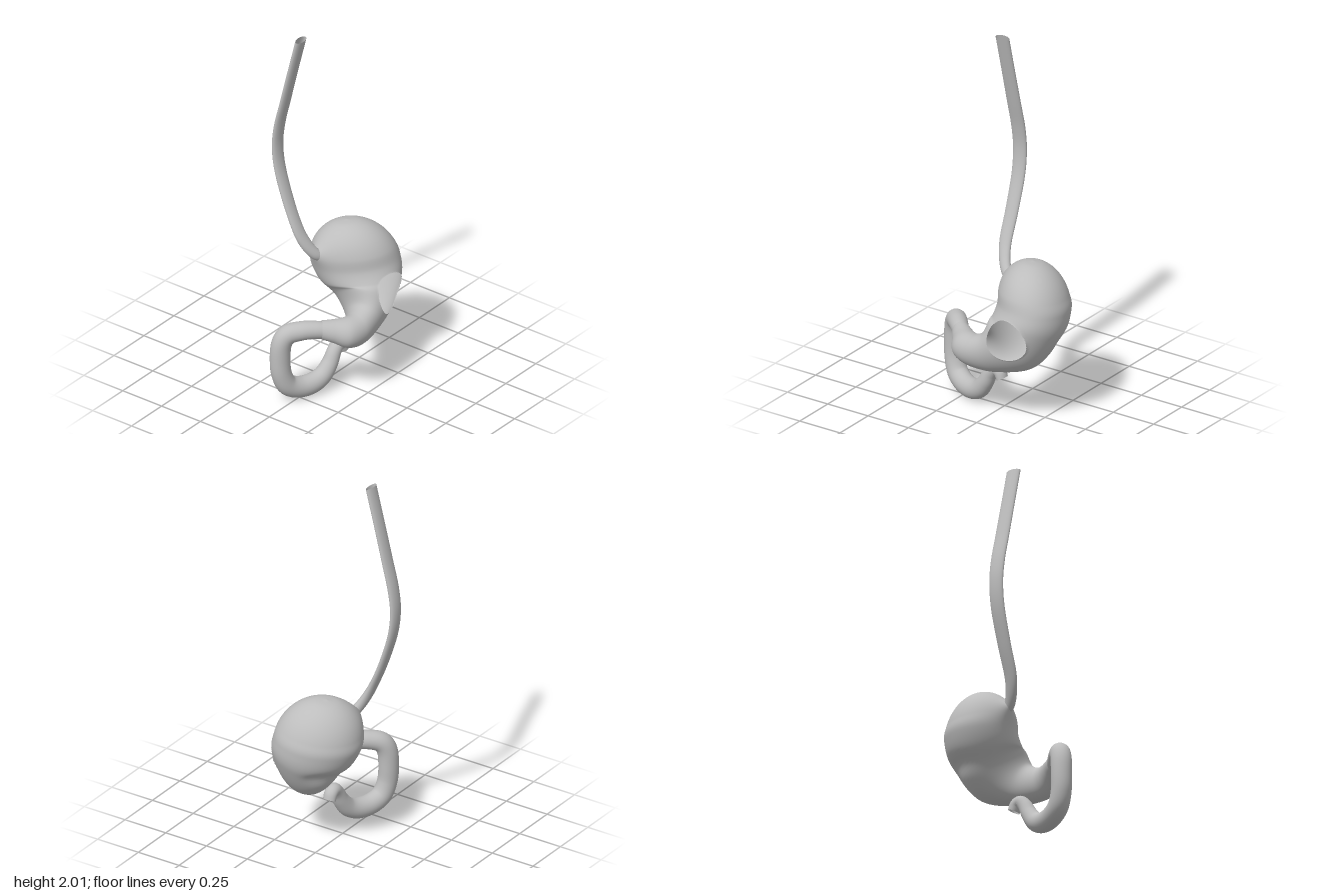
import * as THREE from 'three';

const tissue = new THREE.MeshStandardMaterial({ color: 0xbdbdbd, side: THREE.DoubleSide });
tissue.name = 'grey tissue';

const vec = (x, y, z) => new THREE.Vector3(x, y, z);
const spline = list => new THREE.CatmullRomCurve3(list, false, 'catmullrom', 0.5);

// Sections [x, y, z, half width, half depth], square to their path
function tubeFrame(sections) {
  const path = spline(sections.map(s => vec(s[0], s[1], s[2])));
  const size = spline(sections.map(s => vec(s[3], s[4], 0)));
  return t => {
    const T = path.getTangent(t), r = size.getPoint(t);
    const U = T.clone().cross(vec(0, 0, 1)).normalize();
    const V = U.clone().cross(T).normalize();
    return [path.getPoint(t), U.multiplyScalar(r.x), V.multiplyScalar(r.y)];
  };
}

// Sections [centre, half axis to the inner curve, half axis to the front]
function bagFrame(sections) {
  const curves = [0, 1, 2].map(k => spline(sections.map(s => vec(...s[k]))));
  return t => curves.map(c => c.getPoint(t));
}

// Skins elliptical sections. shape(p) may move a vertex; keep(a, b, c) may drop a face.
function loft(name, frame, rows, sides, shape, keep) {
  const points = [];
  for (let i = 0; i <= rows; i++) {
    const [C, U, V] = frame(i / rows);
    for (let j = 0; j < sides; j++) {
      const a = (j / sides) * Math.PI * 2;
      const p = C.clone().addScaledVector(U, Math.cos(a)).addScaledVector(V, Math.sin(a));
      if (shape) shape(p);
      points.push(p);
    }
  }
  const index = [];
  const face = (a, b, c) => {
    if (!keep || keep(points[a], points[b], points[c])) index.push(a, b, c);
  };
  for (let i = 0; i < rows; i++) {
    for (let j = 0; j < sides; j++) {
      const k = (j + 1) % sides;
      const a = i * sides + j, b = a + sides, c = i * sides + k, d = c + sides;
      face(a, b, c);
      face(c, b, d);
    }
  }
  const geometry = new THREE.BufferGeometry().setFromPoints(points);
  geometry.setIndex(index);
  geometry.computeVertexNormals();
  const mesh = new THREE.Mesh(geometry, tissue);
  mesh.name = name;
  return mesh;
}

// Round opening in the front wall, crease in the back wall, and inlet of the stomach
const hole = { x: 0.185, y: 0.505, r: 0.11 };
const fold = vec(0.25, 0.46, -0.05);
const inlet = vec(0.015, 0.7, -0.055);
const inletPull = vec(-0.06, 0.018, -0.015);

function shapeStomach(p) {
  // wall drawn out into a cone at the inlet
  p.addScaledVector(inletPull, Math.exp(-p.distanceTo(inlet) / 0.07));
  // shallow crease low on the back wall
  if (p.z < 0.1) {
    const d = Math.hypot((p.x - fold.x) / 0.11, (p.y - fold.y) / 0.045, (p.z - fold.z) / 0.08);
    const push = 0.03 * Math.exp(-d * d);
    p.z += push;
    p.y += push * 0.6;
  }
  // vertices inside the opening move onto its rim
  const dx = p.x - hole.x, dy = p.y - hole.y, d = Math.hypot(dx, dy);
  if (p.z > 0.1 && d < hole.r) {
    p.inHole = true;
    p.x = hole.x + (dx / (d || 1)) * hole.r;
    p.y = hole.y + (dy / (d || 1)) * hole.r;
  }
}

// Domed top of the stomach: rings from the pole down to just above the widest section
function dome(pole, [centre, U, V], count) {
  return Array.from({ length: count }, (_, i) => {
    const a = (i / count) * Math.PI / 2;
    const scaled = axis => axis.map(v => v * Math.sin(a));
    return [centre.map((v, k) => v + (pole[k] - v) * Math.cos(a)), scaled(U), scaled(V)];
  });
}

export function createModel() {
  const model = new THREE.Group();
  model.name = 'stomach model';

  // Flattened open tube coming down from above
  model.add(loft('esophagus', tubeFrame([
    [-0.092, 2.0, -0.112, 0.041, 0.018],
    [-0.092, 1.8, -0.163, 0.041, 0.018],
    [-0.091, 1.6, -0.213, 0.042, 0.018],
    [-0.09, 1.45, -0.25, 0.042, 0.019],
    [-0.089, 1.32, -0.264, 0.041, 0.019],
    [-0.088, 1.18, -0.247, 0.04, 0.019],
    [-0.088, 1.0, -0.19, 0.038, 0.019],
    [-0.085, 0.86, -0.132, 0.036, 0.02],
    [-0.066, 0.78, -0.095, 0.033, 0.023],
    [-0.035, 0.725, -0.065, 0.03, 0.025],
    [0.0, 0.7, -0.05, 0.028, 0.025],
  ]), 90, 32));

  // Stomach bag from its domed top to the narrow outlet
  const widest = [[0.2, 0.62, 0.02], [-0.195, 0, 0], [0.03, 0.03, 0.217]];
  model.add(loft('stomach', bagFrame([
    ...dome([0.17, 0.853, -0.015], widest, 5),
    widest,
    [[0.19, 0.53, 0.062], [-0.185, 0.03, 0], [0.02, 0.05, 0.2]],
    [[0.14, 0.44, 0.125], [-0.12, 0.11, 0], [0.01, 0.06, 0.15]],
    [[0.05, 0.385, 0.175], [-0.038, 0.108, 0], [0, 0.035, 0.105]],
    [[-0.04, 0.375, 0.2], [0, 0.092, 0], [-0.01, 0.01, 0.083]],
    [[-0.11, 0.385, 0.19], [0.01, 0.077, 0], [-0.033, 0, 0.068]],
    [[-0.158, 0.401, 0.147], [0.01, 0.058, 0], [-0.036, 0, 0.042]],
    [[-0.2, 0.412, 0.105], [0.005, 0.048, 0], [-0.032, 0, 0.03]],
  ]), 144, 120, shapeStomach, (a, b, c) => !(a.inHole && b.inHole && c.inHole)));

  // Looping gut tube that ends in a small hook
  model.add(loft('duodenum', tubeFrame([
    [-0.19, 0.409, 0.115, 0.044, 0.042],
    [-0.225, 0.414, 0.078, 0.047, 0.046],
    [-0.27, 0.412, 0.03, 0.05, 0.05],
    [-0.317, 0.393, -0.022, 0.053, 0.052],
    [-0.34, 0.34, -0.045, 0.055, 0.052],
    [-0.345, 0.25, -0.05, 0.055, 0.052],
    [-0.34, 0.165, -0.045, 0.054, 0.052],
    [-0.311, 0.093, -0.03, 0.055, 0.053],
    [-0.25, 0.059, -0.003, 0.056, 0.053],
    [-0.18, 0.058, 0.026, 0.055, 0.052],
    [-0.12, 0.085, 0.048, 0.05, 0.048],
    [-0.075, 0.14, 0.06, 0.043, 0.043],
    [-0.045, 0.195, 0.064, 0.038, 0.038],
    [-0.015, 0.227, 0.064, 0.035, 0.037],
    [0.013, 0.218, 0.063, 0.032, 0.036],
    [0.028, 0.186, 0.063, 0.028, 0.035],
  ]), 120, 32));

  return model;
}
